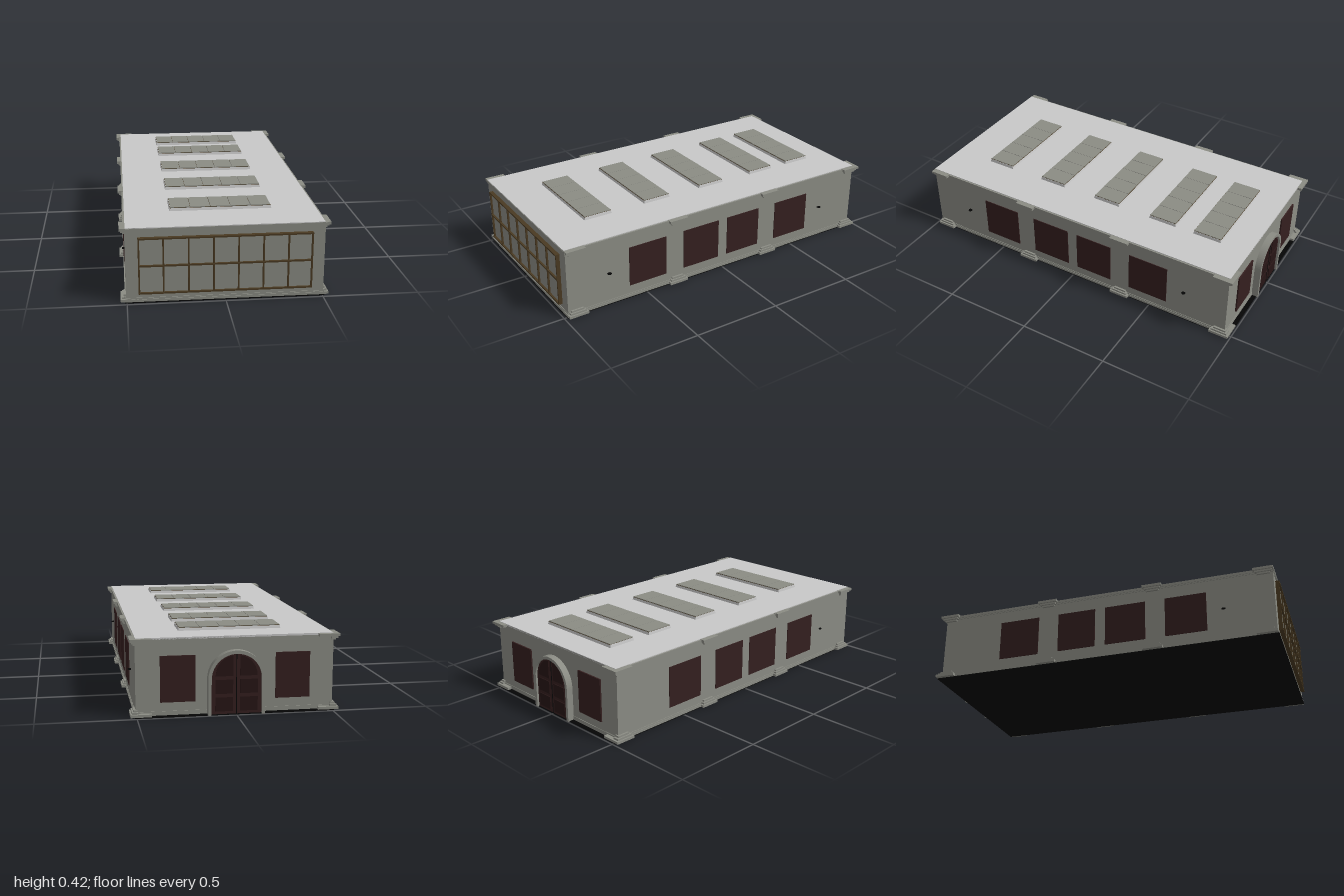
import * as THREE from 'three';

const mat = (name, color, side = THREE.FrontSide) => {
  const m = new THREE.MeshStandardMaterial({ color, side });
  m.name = name;
  return m;
};

export function createModel() {
  const wall = mat('stone', 0x8b8c84);
  const roofGrey = mat('roof grey', 0xc8c8c8);
  const black = mat('floor black', 0x050505);
  const red = mat('dark red wood', 0x341f1f);
  const darkRed = mat('deep red wood', 0x271515);
  const bronze = mat('bronze', 0x4a3a22);

  const model = new THREE.Group();
  model.name = 'hall';

  // Box given by its min and max on each axis
  const box = (name, m, x0, x1, y0, y1, z0, z1, parent = model) => {
    const mesh = new THREE.Mesh(new THREE.BoxGeometry(x1 - x0, y1 - y0, z1 - z0), m);
    mesh.position.set((x0 + x1) / 2, (y0 + y1) / 2, (z0 + z1) / 2);
    mesh.name = name;
    parent.add(mesh);
    return mesh;
  };
  const group = (name) => {
    const g = new THREE.Group();
    g.name = name;
    model.add(g);
    return g;
  };

  // Main body
  box('floor', black, -0.51, 0.51, 0, 0.005, -0.99, 0.985);
  box('walls', wall, -0.505, 0.505, 0.005, 0.39, -0.963, 0.977);
  box('roof', roofGrey, -0.502, 0.502, 0.39, 0.4, -0.966, 0.981);

  // Base and cornice bands along the sides and the front
  const bands = group('bands');
  for (const [y0, y1, out] of [[0.005, 0.018, 0.006], [0.018, 0.026, 0.003], [0.374, 0.381, 0.003], [0.381, 0.396, 0.006]]) {
    for (const s of [-1, 1]) {
      const a = s * 0.5, b = s * (0.505 + out);
      box('sideBand', wall, Math.min(a, b), Math.max(a, b), y0, y1, -0.964, 0.977 + out, bands);
    }
    box('frontBand', wall, -0.505, 0.505, y0, y1, 0.97, 0.977 + out, bands);
    box('backBand', wall, -0.505, 0.505, y0, y1, -0.966, -0.96, bands);
  }

  // Stepped brackets, at top and bottom of each pilaster position
  const brackets = group('brackets');
  const steps = [[0.005, 0.019, 0], [0.019, 0.029, 0.01], [0.029, 0.039, 0.02]];
  for (const s of [-1, 1]) {
    for (const zc of [-0.935, -0.315, 0.305, 0.925]) {
      const corner = Math.abs(zc) > 0.9;
      for (const [y0, y1, inset] of steps) {
        for (const top of [false, true]) {
          const ya = top ? 0.403 - y1 : y0, yb = top ? 0.403 - y0 : y1;
          // only the widest step wraps round the corners
          const inner = corner && inset === 0 ? 0.425 : 0.49;
          const outer = 0.532 - inset * 0.8;
          const half = 0.056 - inset;
          box('bracket', wall, s > 0 ? inner : -outer, s > 0 ? outer : -inner,
            ya, yb, zc - half, zc + half, brackets);
        }
      }
    }
  }

  // Skylights: tapered frame with five panes
  for (const z of [-0.717, -0.443, -0.082, 0.285, 0.657]) {
    const sky = group('skylight');
    sky.position.set(0, 0, z);
    const frame = box('skylightFrame', roofGrey, -0.268, 0.268, 0.4, 0.416, -0.083, 0.083, sky);
    const p = frame.geometry.attributes.position;
    for (let i = 0; i < p.count; i++) {
      if (p.getY(i) > 0) p.setXYZ(i, p.getX(i) * 0.99, p.getY(i), p.getZ(i) * 0.95);
    }
    frame.geometry.computeVertexNormals();
    box('skylightBars', bronze, -0.264, 0.264, 0.415, 0.4165, -0.081, 0.081, sky);
    for (let i = 0; i < 5; i++) {
      const x = -0.263 + i * 0.1055;
      box('skylightPane', wall, x, x + 0.1035, 0.416, 0.42, -0.079, 0.079, sky);
    }
  }

  // Large front window with a grid of bars
  const front = group('frontWindow');
  box('frontGlass', wall, -0.437, 0.437, 0.056, 0.346, 0.975, 0.988, front);
  for (const x of [-0.437, -0.315, -0.188, -0.062, 0.064, 0.19, 0.317, 0.437]) {
    box('uprightBar', bronze, x - 0.004, x + 0.004, 0.053, 0.349, 0.977, 0.998, front);
  }
  for (const y of [0.056, 0.202, 0.346]) {
    box('crossBar', bronze, -0.441, 0.441, y - 0.004, y + 0.004, 0.977, 1, front);
  }

  // Shuttered windows on the sides and the back
  const shutters = group('shutters');
  for (const s of [-1, 1]) {
    for (const [z0, z1] of [[-0.605, -0.37], [-0.25, -0.03], [0.03, 0.262], [0.375, 0.607]]) {
      box('sideShutter', red, s > 0 ? 0.503 : -0.509, s > 0 ? 0.509 : -0.503, 0.075, 0.305, z0, z1, shutters);
    }
    box('backShutter', red, s > 0 ? 0.205 : -0.382, s > 0 ? 0.382 : -0.205, 0.072, 0.308, -0.971, -0.962, shutters);
  }

  // Arched back door
  const door = group('backDoor');
  const arch = (r, y0) => {
    const sh = new THREE.Shape();
    sh.moveTo(-r, y0);
    sh.lineTo(r, y0);
    sh.lineTo(r, 0.185);
    sh.absarc(0, 0.185, r, 0, Math.PI, false);
    sh.lineTo(-r, y0);
    return sh;
  };
  const extrude = (name, shape, m, z0, z1) => {
    const g = new THREE.ExtrudeGeometry(shape, { depth: z1 - z0, bevelEnabled: false, curveSegments: 20 });
    const mesh = new THREE.Mesh(g, m);
    mesh.position.z = z0;
    mesh.name = name;
    door.add(mesh);
  };
  const surround = new THREE.Shape();
  surround.moveTo(0.145, 0.002);
  surround.lineTo(0.145, 0.185);
  surround.absarc(0, 0.185, 0.145, 0, Math.PI, false);
  surround.lineTo(-0.145, 0.002);
  surround.lineTo(-0.128, 0.002);
  surround.lineTo(-0.128, 0.185);
  surround.absarc(0, 0.185, 0.128, Math.PI, 0, true);
  surround.lineTo(0.128, 0.002);
  extrude('doorSurround', surround, wall, -1, -0.96);
  extrude('doorLeaves', arch(0.129, 0.002), red, -0.988, -0.96);
  box('doorSeam', black, -0.002, 0.002, 0.004, 0.31, -0.99, -0.985, door);
  for (const s of [-1, 1]) {
    for (const [y0, y1] of [[0.02, 0.092], [0.11, 0.182]]) {
      box('doorPanel', darkRed, s * 0.063 - 0.045, s * 0.063 + 0.045, y0, y1, -0.993, -0.985, door);
    }
    const fan = new THREE.Shape();
    fan.moveTo(s * 0.018, 0.2);
    fan.lineTo(s * 0.106, 0.2);
    fan.absarc(0, 0.2, 0.106, s > 0 ? 0 : Math.PI, s > 0 ? 1.4 : Math.PI - 1.4, s < 0);
    fan.lineTo(s * 0.018, 0.2);
    extrude('doorArchPanel', fan, darkRed, -0.993, -0.985);
  }

  // Small wall lamps
  for (const [s, z] of [[1, 0.73], [1, -0.71], [-1, 0.7]]) {
    const lamp = new THREE.Mesh(new THREE.SphereGeometry(1, 10, 6), black);
    lamp.name = 'wallLamp';
    lamp.scale.set(s > 0 ? 0.014 : 0.008, 0.005, 0.012);
    lamp.position.set(s * 0.51, 0.19, z);
    model.add(lamp);
  }
  return model;
}
